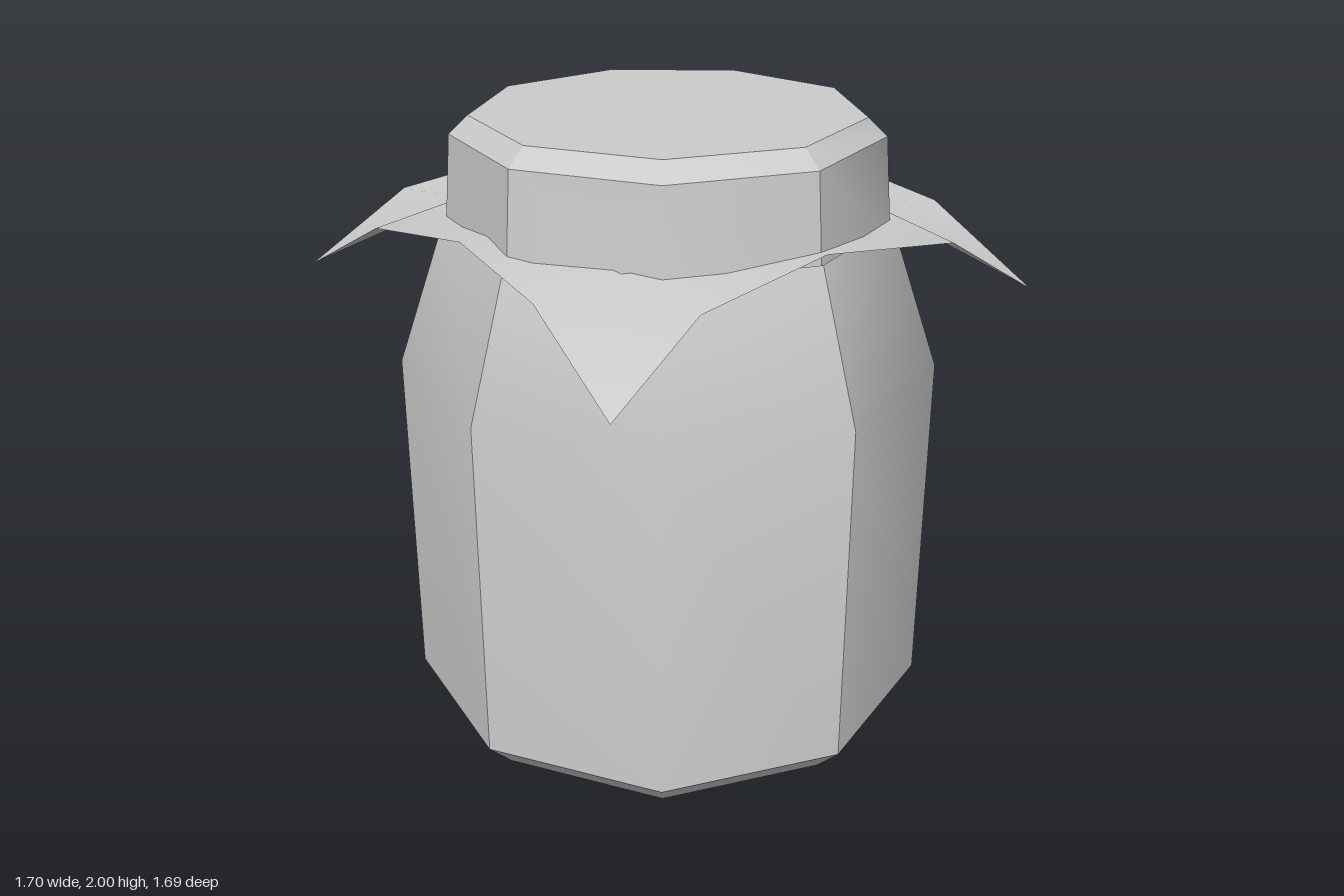
import * as THREE from 'three';
import { mergeGeometries } from 'three/addons/utils/BufferGeometryUtils.js';

const grey = new THREE.MeshStandardMaterial({ color: 0xcccccc, side: THREE.DoubleSide });
const SIDES = 9;

// Nine-sided turned form. Each band holds profile points [radius, y] shaded smoothly;
// bands meet in hard edges, as do the listed corners (counted from +x towards +z).
function facetedTurning(name, bands, corners = [0, 2, 3, 6, 7, 9]) {
  const step = (Math.PI * 2) / SIDES;
  const parts = [];
  for (const band of bands) {
    const profile = band.map(([r, y]) => new THREE.Vector2(r, y));
    for (let i = 0; i < corners.length - 1; i++) {
      const a = corners[i], b = corners[i + 1];
      const arc = new THREE.LatheGeometry(profile, b - a, Math.PI / 2 - b * step, (b - a) * step);
      arc.computeVertexNormals();
      parts.push(arc);
    }
  }
  const mesh = new THREE.Mesh(mergeGeometries(parts), grey);
  mesh.name = name;
  mesh.position.x = -0.01;
  return mesh;
}

// Square cloth: a 4 x 4 grid whose edges bow inwards and whose corners droop
function clothCover() {
  const halfX = [0.74, 0.775, 0.8175], halfZ = [0.745, 0.785, 0.82];
  const heights = [[1.715, 1.715, 1.715], [1.715, 1.70, 1.66], [1.715, 1.66, 1.455]];
  const positions = [], index = [];
  for (let v = -2; v <= 2; v++) {
    for (let u = -2; u <= 2; u++) {
      const au = Math.abs(u), av = Math.abs(v);
      const x = Math.sign(u) * (au === 2 ? halfX[av] : 0.43);
      const z = Math.sign(v) * (av === 2 ? halfZ[au] : 0.49);
      positions.push(x - 0.035, heights[au][av], z);
    }
  }
  for (let j = 0; j < 4; j++) {
    for (let i = 0; i < 4; i++) {
      const a = j * 5 + i, b = a + 1, c = a + 5, d = a + 6;
      // Fold each cell along the line from the centre to the corner
      if ((i < 2) === (j < 2)) index.push(a, c, d, a, d, b);
      else index.push(a, c, b, b, c, d);
    }
  }
  const geometry = new THREE.BufferGeometry();
  geometry.setAttribute('position', new THREE.Float32BufferAttribute(positions, 3));
  geometry.setIndex(index);
  geometry.computeVertexNormals();
  const mesh = new THREE.Mesh(geometry, grey);
  mesh.name = 'clothCover';
  return mesh;
}

export function createModel() {
  const group = new THREE.Group();
  group.name = 'coveredJar';

  // Jar: flat base, bevel, then straight wall running into the shoulder
  group.add(facetedTurning('jar', [
    [[0, 0], [0.77, 0]],
    [[0.77, 0], [0.86, 0.095]],
    [[0.86, 0.095], [0.86, 1.22], [0.70, 1.68]],
  ]));

  group.add(clothCover());

  // Lid: tapering rim, bevel and flat top
  group.add(facetedTurning('lid', [
    [[0.695, 1.64], [0.67, 1.945]],
    [[0.67, 1.945], [0.61, 2]],
    [[0.61, 2], [0, 2]],
  ]));

  return group;
}
